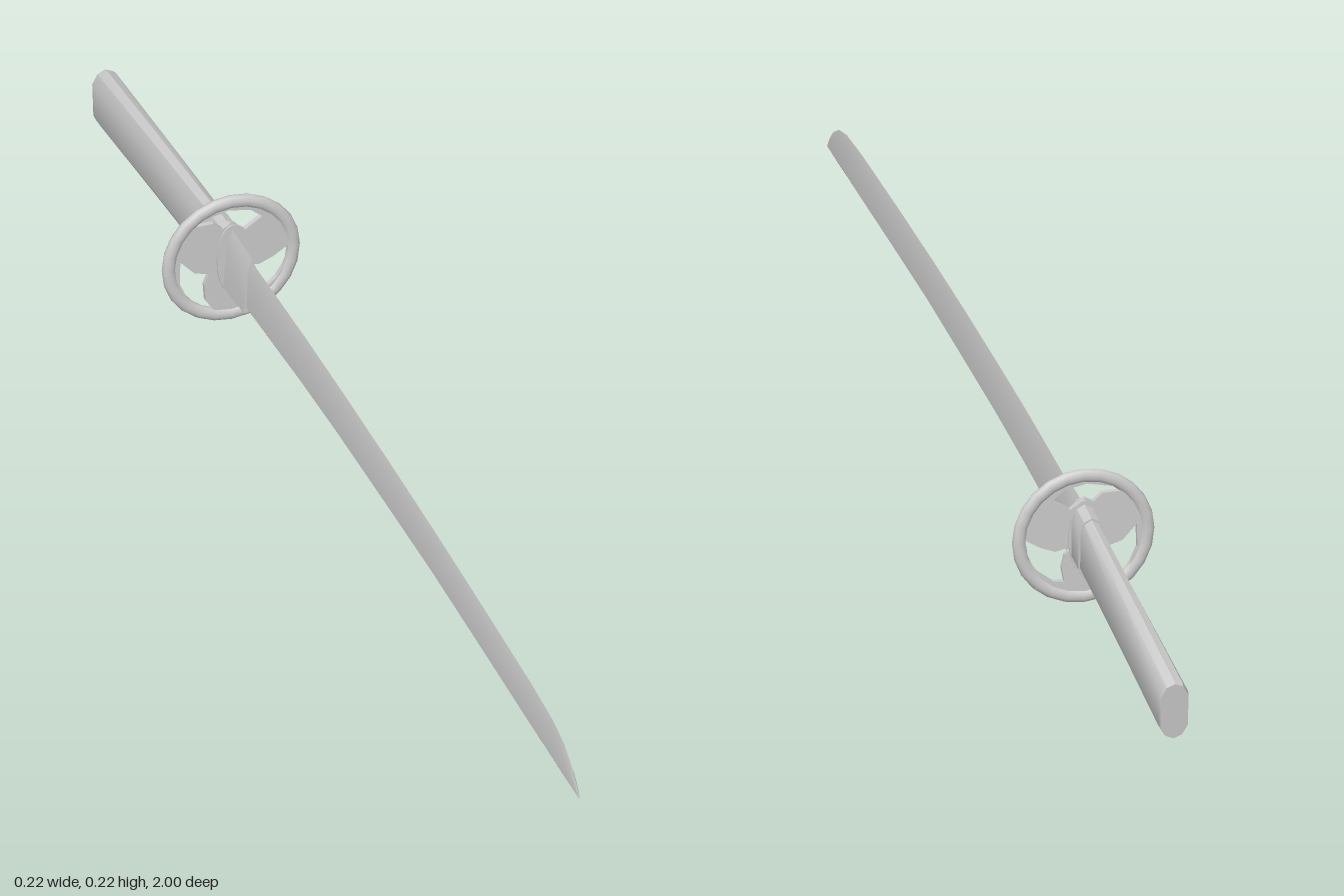
import * as THREE from 'three';
import { toCreasedNormals } from 'three/addons/utils/BufferGeometryUtils.js';

const material = new THREE.MeshStandardMaterial({ color: 0xcccccc });
const CENTRE_Y = 0.109, GUARD_Z = -0.47;

function addMesh(group, name, geometry) {
  const mesh = new THREE.Mesh(geometry, material);
  mesh.name = name;
  group.add(mesh);
  return mesh;
}

// Closed skin through rings of [x, y, z], counterclockwise from +z, ordered by rising z
function loft(rings, crease) {
  const n = rings[0].length, last = (rings.length - 1) * n, index = [];
  for (let i = 0; i < rings.length - 1; i++) {
    for (let j = 0; j < n; j++) {
      const a = i * n + j, b = i * n + (j + 1) % n;
      index.push(a, b, b + n, a, b + n, a + n);
    }
  }
  for (let j = 1; j < n - 1; j++) index.push(0, j + 1, j, last, last + j, last + j + 1);
  const geometry = new THREE.BufferGeometry();
  geometry.setAttribute('position', new THREE.Float32BufferAttribute(rings.flat(2), 3));
  geometry.setIndex(index);
  return toCreasedNormals(geometry, crease);
}

// Profiles: x in half widths, y from 0 (bottom) to 1 (top)
const bladeProfile = [[-0.6, 0], [0.6, 0], [1, 0.08], [0.75, 0.72], [0, 1], [-0.75, 0.72], [-1, 0.08]];
const collarProfile = [[-1, 0], [1, 0], [0.6, 0.78], [0, 1], [-0.6, 0.78]];
const gripProfile = [[0, 0], [0.6, 0.06], [1, 0.22], [1, 0.78], [0.6, 0.94], [0, 1],
  [-0.6, 0.94], [-1, 0.78], [-1, 0.22], [-0.6, 0.06]];

// Each station is [z, bottom, top, half width]; lean slants the ring along z
const rings = (profile, stations, lean = 0) => stations.map(([z, bottom, top, w]) =>
  profile.map(([x, t]) => [x * w, bottom + (top - bottom) * t, z - lean * t]));

// Guard openings around the three lobes
const openings = [
  [[-0.059, 0.177], [-0.045, 0.186], [-0.005, 0.195], [0.03, 0.188], [0.048, 0.173],
    [0.021, 0.155], [-0.002, 0.171], [-0.014, 0.164], [-0.029, 0.177]],
  [[-0.081, 0.12], [-0.082, 0.082], [-0.068, 0.05], [-0.041, 0.025], [-0.009, 0.0125],
    [-0.029, 0.025], [-0.041, 0.043], [-0.043, 0.071], [-0.036, 0.089], [-0.059, 0.096]],
  [[0.089, 0.1125], [0.088, 0.086], [0.071, 0.059], [0.048, 0.041], [0.03, 0.039],
    [0.034, 0.061], [0.029, 0.082], [0.016, 0.096], [0.043, 0.089], [0.066, 0.098]],
];

function createGuard() {
  const guard = new THREE.Group();
  guard.name = 'guard';

  // Thin pierced plate
  const plate = new THREE.Shape();
  plate.absarc(0, CENTRE_Y, 0.1, 0, Math.PI * 2);
  for (const points of openings) {
    plate.holes.push(new THREE.Path(points.map(([x, y]) => new THREE.Vector2(x, y))));
  }
  const plateGeometry = new THREE.ExtrudeGeometry(plate,
    { depth: 0.008, bevelEnabled: false, curveSegments: 12 });
  addMesh(guard, 'guardPlate', plateGeometry).position.z = GUARD_Z - 0.004;

  // Rounded rim
  const rim = addMesh(guard, 'guardRim', new THREE.TorusGeometry(0.0985, 0.0105, 10, 24));
  rim.position.set(0, CENTRE_Y, GUARD_Z);
  rim.scale.z = 0.75;

  // Oval spacer washers on both faces
  for (const side of [-1, 1]) {
    const washer = addMesh(guard, 'washer', new THREE.CylinderGeometry(1, 1, 0.004, 20));
    washer.rotation.x = Math.PI / 2;
    washer.scale.set(0.024, 1, 0.06);
    washer.position.set(0, CENTRE_Y, GUARD_Z + side * 0.005);
  }
  return guard;
}

export function createModel() {
  const sword = new THREE.Group();
  sword.name = 'sword';

  // Curved blade, cutting edge up, spine below
  addMesh(sword, 'blade', loft(rings(bladeProfile, [
    [-0.47, 0.066, 0.153, 0.009], [-0.3, 0.075, 0.158, 0.009], [-0.15, 0.083, 0.162, 0.009],
    [0, 0.088, 0.163, 0.009], [0.2, 0.089, 0.162, 0.0085], [0.4, 0.089, 0.158, 0.008],
    [0.6, 0.084, 0.151, 0.008], [0.8, 0.077, 0.142, 0.0075], [0.89, 0.073, 0.134, 0.006],
    [0.935, 0.07, 0.122, 0.005], [0.97, 0.068, 0.101, 0.0035], [0.99, 0.066, 0.081, 0.002],
    [1, 0.065, 0.067, 0.0005],
  ]), 0.4));

  // Blade collar in front of the guard
  addMesh(sword, 'bladeCollar', loft(rings(collarProfile,
    [[-0.47, 0.062, 0.162, 0.015], [-0.38, 0.068, 0.161, 0.013]]), 0.4));

  sword.add(createGuard());

  // Grip collar behind the guard
  addMesh(sword, 'gripCollar', loft(rings(gripProfile,
    [[-0.515, 0.053, 0.16, 0.0195], [-0.472, 0.057, 0.163, 0.0195]], 0.005), 0.6));

  // Grip, widening and dropping towards the pommel
  addMesh(sword, 'grip', loft(rings(gripProfile, [
    [-0.991, 0.018, 0.111, 0.021], [-0.982, 0.018, 0.114, 0.022],
    [-0.75, 0.038, 0.136, 0.019], [-0.475, 0.06, 0.16, 0.0165],
  ], 0.009), 0.6));

  return sword;
}
